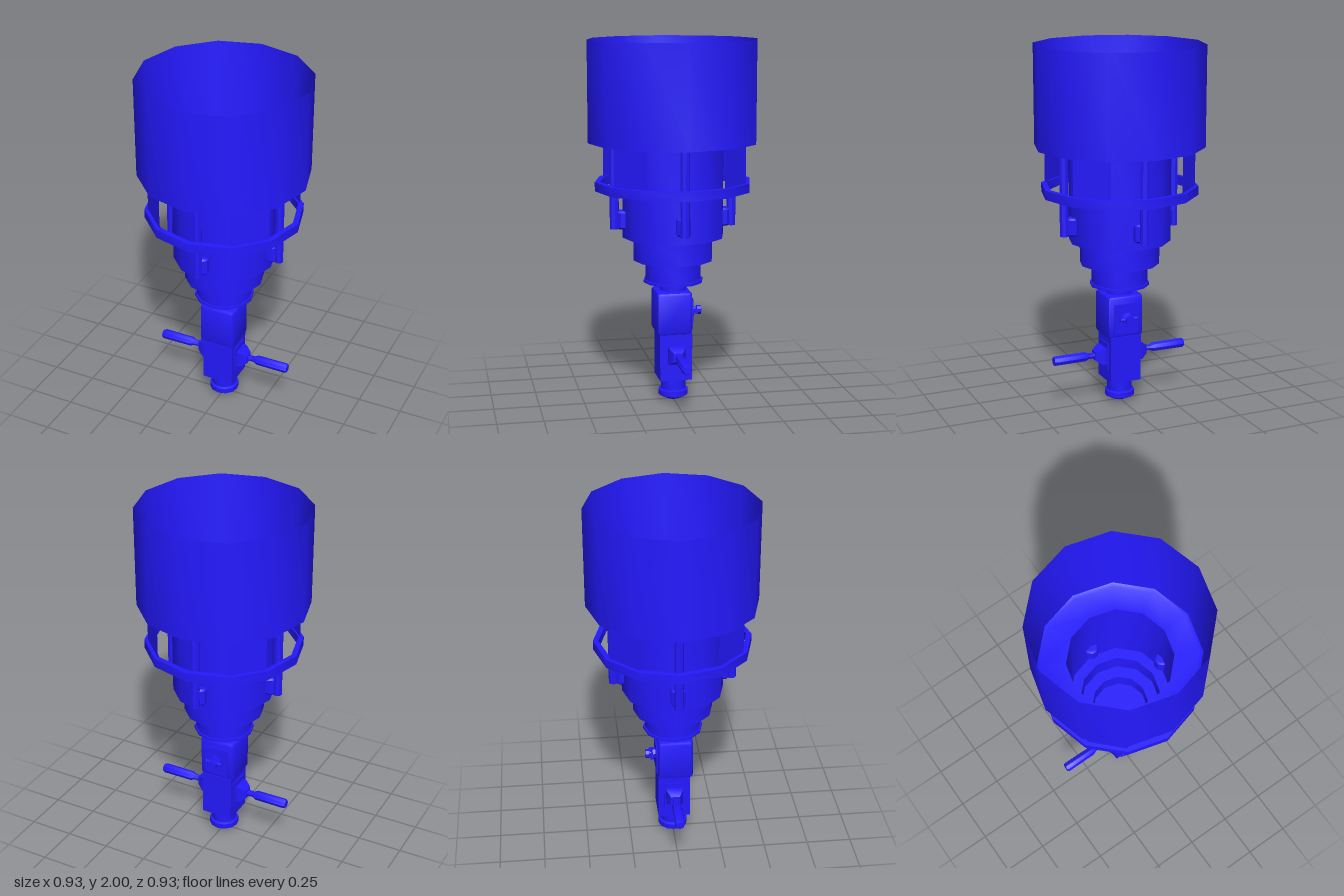
import * as THREE from 'three';
import { toCreasedNormals } from 'three/addons/utils/BufferGeometryUtils.js';
import { RoundedBoxGeometry } from 'three/addons/geometries/RoundedBoxGeometry.js';

const blue = new THREE.MeshStandardMaterial({ color: 0x2419ff, side: THREE.DoubleSide });

function part(parent, name, geometry, x = 0, y = 0, z = 0) {
  const mesh = new THREE.Mesh(toCreasedNormals(geometry, 0.65), blue);
  mesh.name = name;
  mesh.position.set(x, y, z);
  parent.add(mesh);
  return mesh;
}

// Turned part from [radius, height] pairs
const turned = (points, sides = 12, start = 0) =>
  new THREE.LatheGeometry(points.map(([r, y]) => new THREE.Vector2(r, y)), sides, start);

export function createModel() {
  const model = new THREE.Group();
  model.name = 'lampHead';

  // Open bucket with a tapering inner wall
  part(model, 'bucket', turned([
    [0.28, 1.46], [0.43, 1.46], [0.43, 1.45], [0.465, 1.45], [0.465, 2],
    [0.43, 1.48], [0.41, 1.47], [0.28, 1.47],
  ]));

  // Stepped hollow body
  part(model, 'steppedBody', turned([
    [0, 0.675], [0.165, 0.675], [0.165, 0.69], [0.155, 0.69], [0.155, 0.8],
    [0.22, 0.8], [0.22, 0.93], [0.28, 0.93], [0.28, 1.47],
  ]));

  // Guard ring held by four panels
  part(model, 'guardRing', turned([
    [0.4, 1.19], [0.43, 1.19], [0.43, 1.24], [0.4, 1.24], [0.4, 1.19],
  ]));
  for (let i = 0; i < 4; i++) {
    part(model, 'ringPanel', new THREE.CylinderGeometry(
      0.41, 0.41, 0.23, 1, 1, true, Math.PI / 6 + i * Math.PI / 2, Math.PI / 6), 0, 1.345, 0);
  }

  // Four posts with clamps set into the body wall
  for (let i = 0; i < 4; i++) {
    const support = new THREE.Group();
    support.name = 'support';
    support.rotation.y = i * Math.PI / 2;
    part(support, 'post', new THREE.CylinderGeometry(0.025, 0.025, 0.48, 8), 0, 1.22, 0.325);
    part(support, 'clamp', turned([
      [0, 0.98], [0.032, 0.98], [0.042, 0.99], [0.042, 1.07], [0.032, 1.08], [0, 1.08],
    ], 8, Math.PI / 8), 0, 0, 0.278);
    model.add(support);
  }

  // Neck and mounting blocks
  part(model, 'neck', new THREE.CylinderGeometry(0.075, 0.075, 0.07, 12), 0, 0.65, 0);
  part(model, 'upperBlock', new RoundedBoxGeometry(0.208, 0.24, 0.196, 1, 0.018), 0, 0.51, 0.008);
  part(model, 'lowerBlock', new THREE.BoxGeometry(0.18, 0.265, 0.18), 0, 0.2625, 0);

  // Foot with a domed tip
  part(model, 'foot', turned([
    [0, 0], [0.035, 0.006], [0.083, 0.03], [0.083, 0.06], [0.07, 0.065], [0.07, 0.14], [0, 0.14],
  ]));

  // Side handles, mirrored by a half turn
  for (const side of [1, -1]) {
    const handle = new THREE.Group();
    handle.name = side > 0 ? 'leftHandle' : 'rightHandle';
    handle.rotation.y = side > 0 ? 0 : Math.PI;
    part(handle, 'handlePlate', new THREE.BoxGeometry(0.015, 0.155, 0.116), 0.09, 0.278, 0);
    const socket = part(handle, 'handleSocket', turned([
      [0, 0.09], [0.066, 0.09], [0.066, 0.12], [0.035, 0.155], [0, 0.155],
    ], 4, Math.PI / 4), 0, 0.278, 0);
    socket.rotation.z = -Math.PI / 2;
    const grip = part(handle, 'grip', turned([
      [0.017, 0.14], [0.017, 0.19], [0.027, 0.21], [0.028, 0.385], [0.023, 0.395], [0, 0.395],
    ], 8), 0, 0.278, 0);
    grip.rotation.z = -Math.PI / 2;
    model.add(handle);
  }

  // Rear plate and valve knob
  part(model, 'rearPlate', new THREE.BoxGeometry(0.14, 0.17, 0.015), 0, 0.5, -0.092);
  const valve = part(model, 'valve', turned([
    [0, 0.09], [0.035, 0.09], [0.035, 0.115], [0.015, 0.12], [0.015, 0.128],
    [0.025, 0.132], [0.025, 0.155], [0, 0.155],
  ], 8, Math.PI / 8), 0, 0.505, 0);
  valve.rotation.x = -Math.PI / 2;
  const valveBar = part(model, 'valveBar', new THREE.CylinderGeometry(0.011, 0.011, 0.1, 8), 0, 0.505, -0.122);
  valveBar.rotation.z = Math.PI / 2;

  return model;
}
